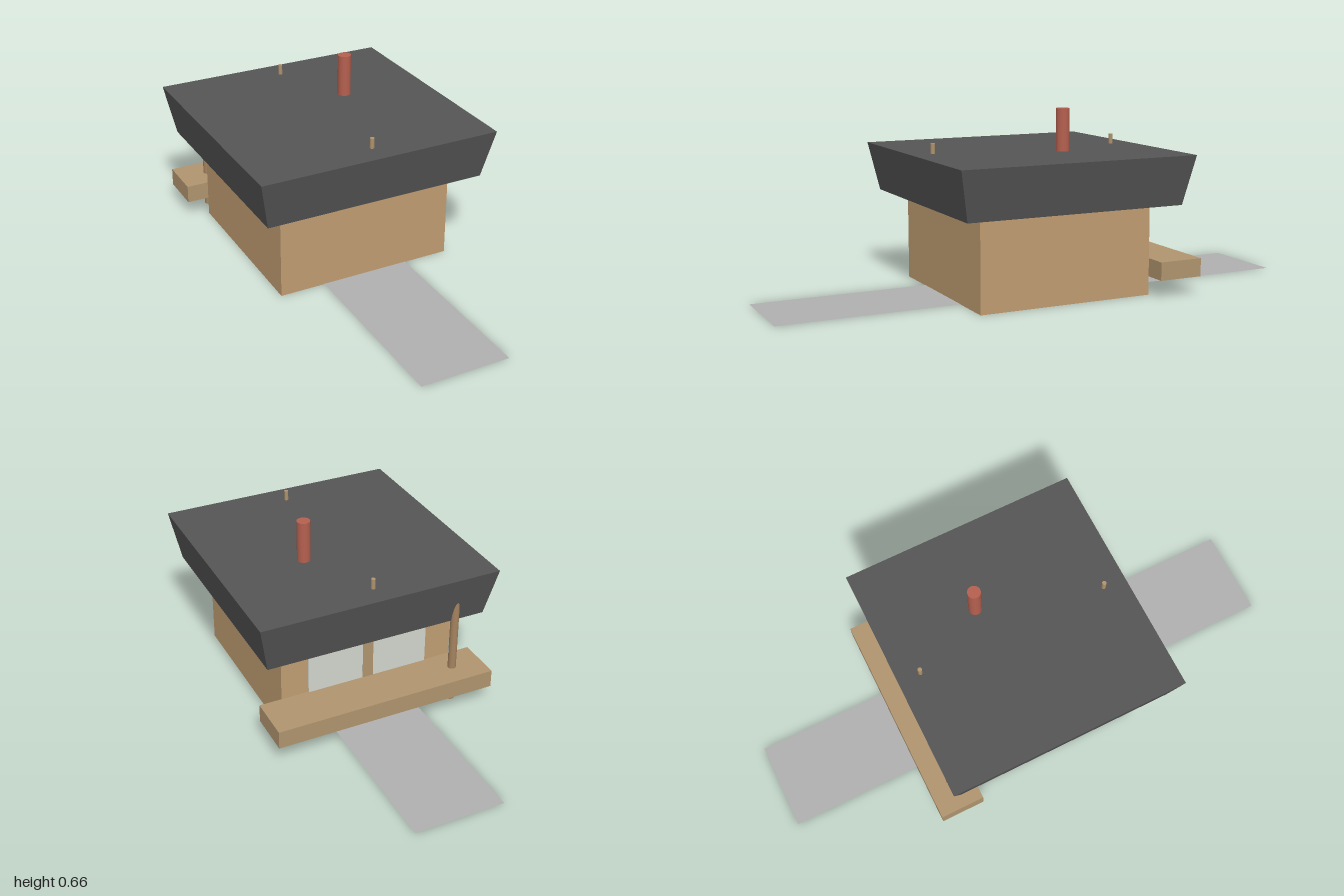
import * as THREE from 'three';

const material = (color, extra = {}) => new THREE.MeshStandardMaterial({ color, ...extra });

export function createModel() {
  const model = new THREE.Group();
  model.name = 'cabin';
  // The whole cabin stands slightly turned on its plot
  model.rotation.y = -0.107;

  const wall = material(0xbf9c72);
  const wood = material(0xb0946e);
  const postWood = material(0xa5835f);
  const roofing = material(0x555555, { flatShading: true });
  const brick = material(0xb5604f);
  const glass = material(0xd2d6cc);
  const paving = material(0xb0b0b0, { side: THREE.DoubleSide });

  function add(name, geometry, mat, x, y, z) {
    const mesh = new THREE.Mesh(geometry, mat);
    mesh.name = name;
    mesh.position.set(x, y, z);
    model.add(mesh);
    return mesh;
  }
  // Parts given by their bottom and top heights
  const box = (name, mat, w, d, y0, y1, x, z) =>
    add(name, new THREE.BoxGeometry(w, y1 - y0, d), mat, x, (y0 + y1) / 2, z);
  const rod = (name, mat, r, y0, y1, x, z, sides = 16) =>
    add(name, new THREE.CylinderGeometry(r, r, y1 - y0, sides), mat, x, (y0 + y1) / 2, z);

  // Square body
  box('walls', wall, 0.658, 0.658, 0, 0.335, 0, 0);

  // Flat roof with outward sloping fascia
  const roof = new THREE.CylinderGeometry(0.445 * Math.SQRT2, 0.41 * Math.SQRT2, 0.178, 4);
  roof.rotateY(Math.PI / 4);
  add('roof', roof, roofing, 0, 0.42, 0);

  // Chimney and the two little roof pegs
  rod('chimney', brick, 0.024, 0.5, 0.662, 0.13, -0.085, 20);
  for (const s of [-1, 1]) rod('roofPeg', wood, 0.008, 0.508, 0.546, 0, s * 0.36, 8);

  // Pair of tall panes at the back, either side of a mullion
  for (const s of [-1, 1]) box('windowPane', glass, 0.208, 0.006, 0.037, 0.328, s * 0.124, -0.33);
  box('mullion', wood, 0.04, 0.008, 0.037, 0.33, 0, -0.33);

  // Back deck and the post that runs up into the roof
  box('deck', wood, 0.822, 0.166, 0.067, 0.133, 0, -0.412);
  rod('post', postWood, 0.015, 0, 0.45, -0.297, -0.41);

  // Path running out from front and back
  for (const s of [-1, 1]) {
    const path = new THREE.PlaneGeometry(0.326, 0.654);
    path.rotateX(-Math.PI / 2);
    add('path', path, paving, 0, 0.001, s * 0.656);
  }

  return model;
}
